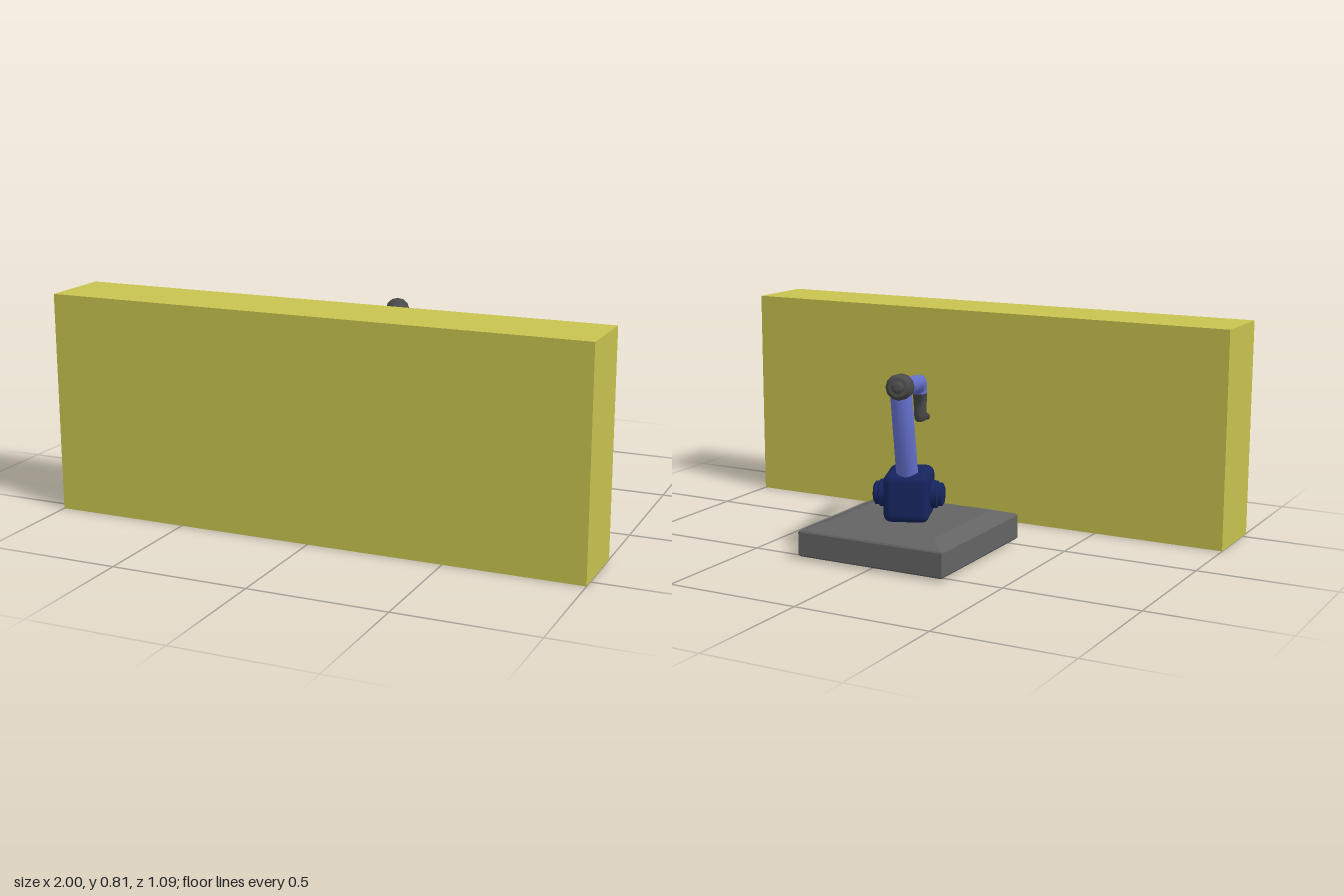
import * as THREE from 'three';
import { toCreasedNormals } from 'three/addons/utils/BufferGeometryUtils.js';
import { RoundedBoxGeometry } from 'three/addons/geometries/RoundedBoxGeometry.js';

const mat = (color) => new THREE.MeshStandardMaterial({ color });
const materials = {
  wall: mat(0xc8c34f), base: mat(0x646464), dark: mat(0x4a4a4a), blue: mat(0x6672d0), navy: mat(0x16245f),
};

function part(parent, name, geometry, material, x = 0, y = 0, z = 0) {
  const mesh = new THREE.Mesh(geometry, material);
  mesh.name = name;
  mesh.position.set(x, y, z);
  parent.add(mesh);
  return mesh;
}

function lathe(profile, sides, crease, phi = 0) {
  const points = profile.map(([r, y]) => new THREE.Vector2(r, y));
  return toCreasedNormals(new THREE.LatheGeometry(points, sides, phi), crease);
}

// Limb skinned over oval sections: [z1, y1, z2, y2, halfWidth], the two rim points in the arm's plane
function limb(sections, sides = 16) {
  const positions = [], index = [];
  const centre = ([z1, y1, z2, y2]) => [0, (y1 + y2) / 2, (z1 + z2) / 2];
  for (const s of sections) {
    const [, cy, cz] = centre(s);
    for (let j = 0; j < sides; j++) {
      const t = (j / sides) * Math.PI * 2;
      positions.push(Math.sin(t) * s[4], cy + Math.cos(t) * (s[1] - cy), cz + Math.cos(t) * (s[0] - cz));
    }
  }
  const last = (sections.length - 1) * sides, start = last + sides;
  positions.push(...centre(sections[0]), ...centre(sections[sections.length - 1]));
  for (let j = 0; j < sides; j++) {
    const k = (j + 1) % sides;
    for (let o = 0; o < last; o += sides) {
      index.push(o + j, o + sides + j, o + k, o + k, o + sides + j, o + sides + k);
    }
    index.push(start, j, k, start + 1, last + k, last + j);
  }
  const geometry = new THREE.BufferGeometry();
  geometry.setAttribute('position', new THREE.Float32BufferAttribute(positions, 3));
  geometry.setIndex(index);
  return toCreasedNormals(geometry, 0.8);
}

export function createModel() {
  const model = new THREE.Group();
  model.name = 'robotArmAndWall';

  // Large block in front of the arm
  part(model, 'wall', new THREE.BoxGeometry(2, 0.808, 0.272), materials.wall, 0, 0.404, 0.408);

  // Square plinth with a sloped upper rim
  const q = Math.SQRT2;
  const plinth = [[0, 0.01], [0.285 * q, 0.01], [0.29 * q, 0.016], [0.29 * q, 0.1],
    [0.286 * q, 0.106], [0.22 * q, 0.128], [0, 0.128]];
  part(model, 'base', lathe(plinth, 4, 0.1, Math.PI / 4), materials.base, -0.003, 0, -0.255);

  // Everything above the plinth turns about the vertical axis
  const arm = new THREE.Group();
  arm.name = 'arm';
  arm.position.set(0, 0, -0.255);
  arm.rotation.y = 0.378;
  model.add(arm);

  // Shoulder housing with a pivot cap on each side
  part(arm, 'shoulder', new RoundedBoxGeometry(0.165, 0.18, 0.205, 3, 0.032), materials.navy, 0, 0.212, 0);
  const cap = lathe([[0.05, 0], [0.05, 0.035], [0.043, 0.04], [0.043, 0.052], [0.03, 0.06], [0, 0.062]], 16, 0.6);
  for (const side of [-1, 1]) {
    part(arm, side > 0 ? 'leftPivotCap' : 'rightPivotCap', cap, materials.navy, side * 0.068, 0.212, 0)
      .rotation.z = -side * Math.PI / 2;
  }

  // Lower arm leaning back
  part(arm, 'lowerArm', limb([
    [-0.075, 0.25, 0.022, 0.25, 0.04],
    [-0.22, 0.588, -0.135, 0.602, 0.038],
    [-0.215, 0.615, -0.145, 0.63, 0.032],
  ]), materials.blue);

  // Elbow collar in line with the forearm
  part(arm, 'elbow', lathe([[0, 0], [0.034, 0], [0.042, 0.012], [0.046, 0.035], [0.046, 0.095], [0.034, 0.118],
    [0.022, 0.119], [0.021, 0.13], [0.012, 0.138], [0, 0.139]], 12, 0.6), materials.dark, 0, 0.628, -0.138)
    .rotation.x = 0.14 - Math.PI / 2;

  // Forearm, curving down at its front end
  part(arm, 'forearm', limb([
    [-0.154, 0.658, -0.163, 0.594, 0.033],
    [0.167, 0.614, 0.174, 0.55, 0.03],
    [0.262, 0.599, 0.215, 0.538, 0.028],
    [0.312, 0.59, 0.221, 0.535, 0.027],
    [0.344, 0.57, 0.223, 0.534, 0.026],
    [0.35, 0.553, 0.224, 0.533, 0.026],
    [0.344, 0.523, 0.224, 0.531, 0.026],
  ]), materials.blue);

  // Wrist bending forward into a pointed tool
  part(arm, 'wristAndTool', limb([
    [0.344, 0.524, 0.224, 0.532, 0.026],
    [0.334, 0.497, 0.25, 0.503, 0.025],
    [0.331, 0.465, 0.259, 0.474, 0.024],
    [0.337, 0.45, 0.256, 0.444, 0.024],
    [0.356, 0.442, 0.268, 0.418, 0.023],
    [0.381, 0.433, 0.325, 0.409, 0.02],
    [0.419, 0.424, 0.416, 0.398, 0.016],
    [0.489, 0.409, 0.487, 0.384, 0.011],
    [0.504, 0.399, 0.503, 0.386, 0.006],
    [0.542, 0.391, 0.542, 0.388, 0.002],
  ]), materials.dark);

  return model;
}
